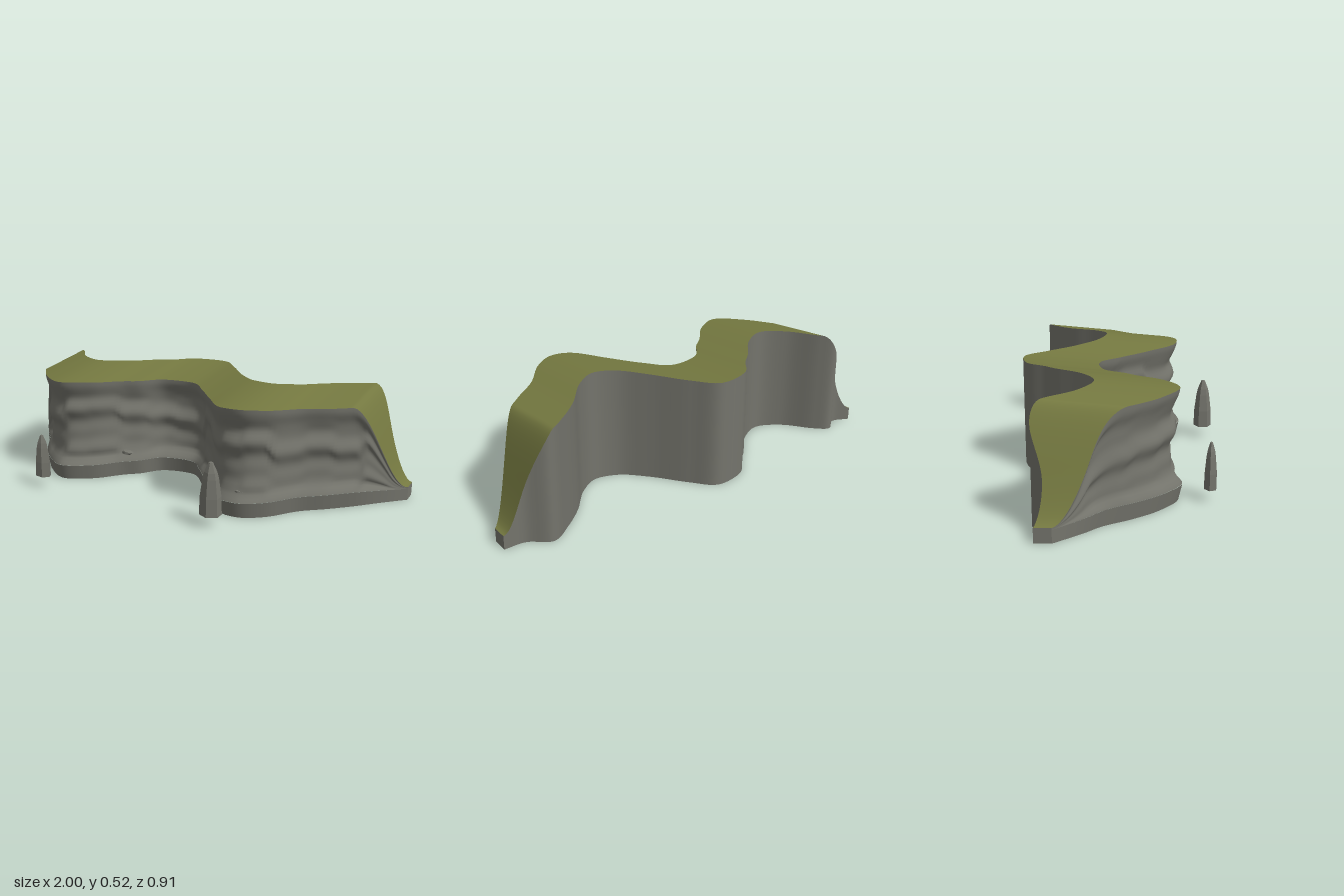
import * as THREE from 'three';

const rock = new THREE.MeshStandardMaterial({ color: 0x74746c });
rock.name = 'rock';
const grass = new THREE.MeshStandardMaterial({ color: 0x747840 });
grass.name = 'grass';

// Plan of the winding ridge: x, front edge z, back edge z
const plan = new THREE.CatmullRomCurve3([
  [-1, -0.26, -0.33], [-0.91, -0.15, -0.3], [-0.84, -0.075, -0.35], [-0.77, 0.04, -0.3],
  [-0.67, 0.16, -0.175], [-0.55, 0.235, -0.115], [-0.42, 0.175, -0.175], [-0.31, 0.06, -0.29],
  [-0.25, 0.01, -0.34], [-0.165, -0.085, -0.43], [-0.015, -0.105, -0.455], [0.08, -0.01, -0.36],
  [0.19, 0.13, -0.215], [0.3, 0.255, -0.11], [0.4, 0.268, -0.083], [0.5, 0.21, -0.14],
  [0.61, 0.08, -0.265], [0.71, 0, -0.35], [0.81, -0.09, -0.41], [0.905, -0.185, -0.35], [1, -0.275, -0.345],
].map((p) => new THREE.Vector3(...p)), false, 'centripetal');

const lerp = THREE.MathUtils.lerp;
const smooth = THREE.MathUtils.smoothstep;
const hash = (n) => { const s = Math.sin(n * 127.1 + 3.7) * 43758.5453; return s - Math.floor(s); };

// Heights along the ridge
const rise = (x) => smooth(1 - Math.abs(x), 0, 0.22);
const bump = (x, c, w) => Math.exp(-(((x - c) / w) ** 2));
function backTop(x) {
  const plateau = 0.493 + 0.02 * bump(x, -0.5, 0.25) + 0.027 * bump(x, 0.4, 0.22);
  return lerp(0.062, plateau, rise(x));
}
const frontTop = (x) => backTop(x) - 0.03 * rise(x);
const ledgeY = (x) => lerp(0.055, 0.072, rise(x));

// Strata: depth of the cliff face behind its lip, shifting from column to column
function strata(x, v) {
  const cell = x / 0.105 + 20;
  const i = Math.floor(cell);
  const f = smooth(cell - i, 0.65, 1);
  const phase = lerp(hash(i), hash(i + 1), f) * 3.2 - 1.6;
  const depth = -0.031 + 0.011 * Math.sin(v * 13 + phase) + 0.006 * Math.sin(v * 24 + phase * 2);
  const body = smooth(v, 0, 0.12) * (1 - smooth(v, 0.72, 1));
  return (depth * body + 0.015 * (1 - smooth(v, 0, 0.1))) * rise(x);
}

// Smooth surface from a rule; the outside faces du x dv
function surface(name, nu, nv, rule, material) {
  const pos = [], index = [];
  for (let j = 0; j <= nv; j++)
    for (let i = 0; i <= nu; i++) pos.push(...rule(i / nu, j / nv));
  for (let j = 0; j < nv; j++)
    for (let i = 0; i < nu; i++) {
      const a = j * (nu + 1) + i, b = a + 1, c = a + nu + 1, d = c + 1;
      index.push(a, b, d, a, d, c);
    }
  const g = new THREE.BufferGeometry();
  g.setAttribute('position', new THREE.Float32BufferAttribute(pos, 3));
  g.setIndex(index);
  g.computeVertexNormals();
  const mesh = new THREE.Mesh(g, material);
  mesh.name = name;
  return mesh;
}

// Faceted standing stone
function spire(name, x, z, height, rx, rz, turn) {
  const profile = [[0, 0], [1, 0], [0.95, 0.35], [0.72, 0.7], [0.58, 0.82], [0.2, 1], [0, 1]]
    .map(([r, y]) => new THREE.Vector2(r, y));
  const g = new THREE.LatheGeometry(profile, 6, turn).toNonIndexed();
  g.scale(rx, height, rz);
  g.computeVertexNormals();
  const mesh = new THREE.Mesh(g, rock);
  mesh.name = name;
  mesh.position.set(x, 0.055, z);
  return mesh;
}

export function createModel() {
  const model = new THREE.Group();
  model.name = 'cliffRidge';
  const N = 160;
  const at = (u) => plan.getPoint(u);

  // Rock foot with a slightly flared front
  model.add(surface('foot', N, 1, (u, v) => {
    const p = at(u);
    return [p.x, v * ledgeY(p.x), p.y + 0.017 * v * rise(p.x)];
  }, rock));

  // Weathered cliff face
  model.add(surface('cliffFace', N, 28, (u, v) => {
    const p = at(u);
    return [p.x, lerp(ledgeY(p.x), frontTop(p.x), v), p.y + strata(p.x, v)];
  }, rock));

  // Grass over the top and down both end slopes
  model.add(surface('grassTop', N, 4, (u, v) => {
    const p = at(u);
    return [p.x, lerp(frontTop(p.x), backTop(p.x), v), lerp(p.y, p.z, v)];
  }, grass));

  // Plain back wall and underside
  model.add(surface('backWall', N, 4, (u, v) => {
    const p = at(u);
    return [p.x, backTop(p.x) * (1 - v), p.z];
  }, rock));
  model.add(surface('underside', N, 1, (u, v) => {
    const p = at(u);
    return [p.x, 0, lerp(p.z, p.y, v)];
  }, rock));

  // Small end faces
  for (const side of [1, -1]) {
    const p = at(side > 0 ? 1 : 0);
    model.add(surface(side > 0 ? 'leftEnd' : 'rightEnd', 1, 1, (u, v) => {
      const t = side > 0 ? u : 1 - u;
      return [p.x, v * lerp(frontTop(p.x), backTop(p.x), t), lerp(p.y, p.z, t)];
    }, rock));
  }

  // Standing stones in front
  model.add(spire('rightSpire', -0.568, 0.366, 0.2, 0.04, 0.029, 0.3));
  model.add(spire('leftSpire', 0.333, 0.406, 0.235, 0.05, 0.044, 0));

  // Loose stones on the ledge
  [[-0.305, 0.113, 0.042, 0.036], [0.175, 0.108, 0.092, 0.028], [0.385, 0.112, 0.24, 0.03]]
    .forEach(([x, y, z, r], i) => {
      const stone = new THREE.Mesh(new THREE.IcosahedronGeometry(1, 0), rock);
      stone.name = 'looseStone' + (i + 1);
      stone.scale.set(r, 0.014, 0.022);
      stone.position.set(x, y, z);
      model.add(stone);
    });

  return model;
}
